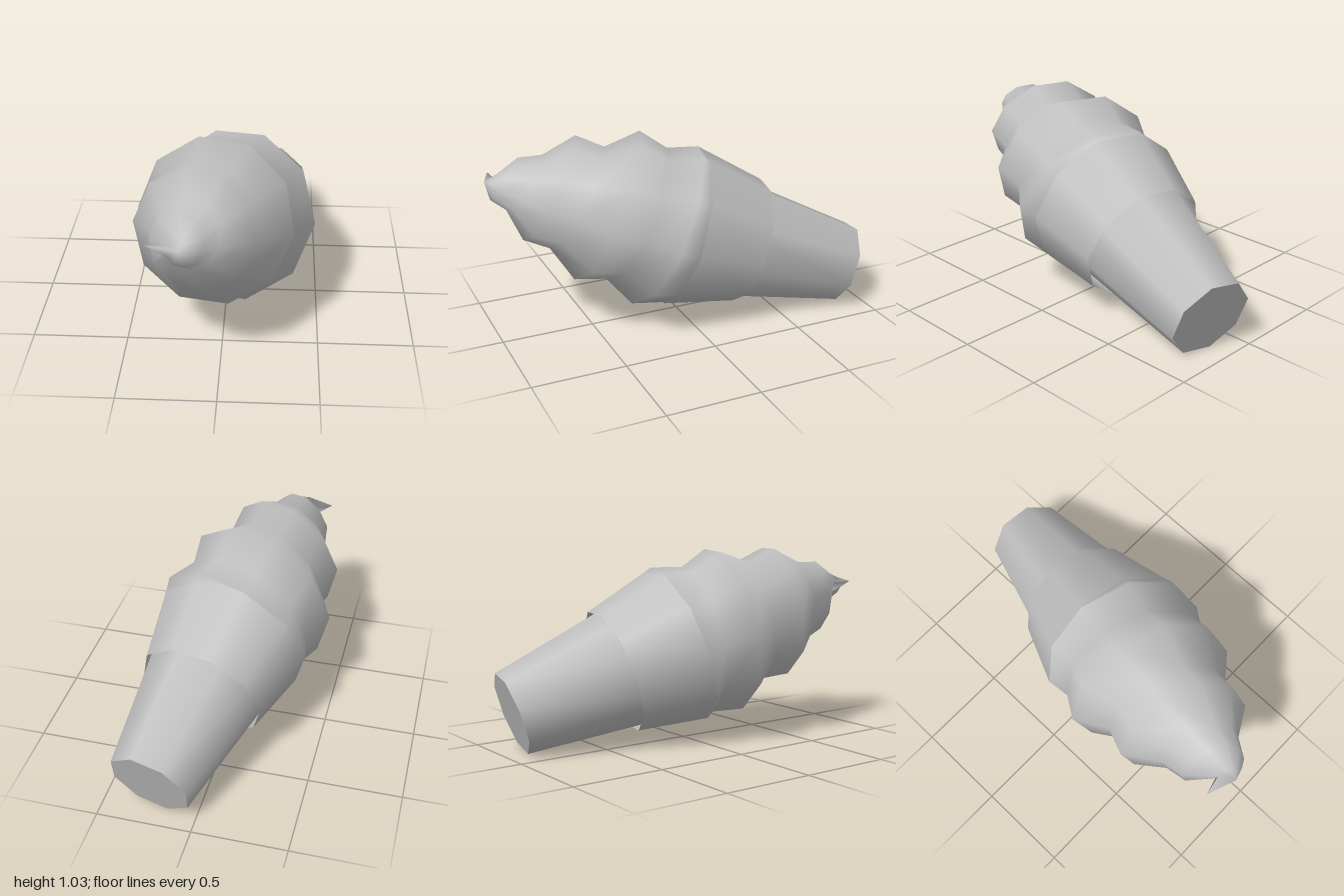
import * as THREE from 'three';
import { mergeVertices } from 'three/addons/utils/BufferGeometryUtils.js';

const RAD = Math.PI / 180;
const SIDES = 10, PHASE = -4 * RAD;
const BASE = 0.977, APEX = 2.07;

// Linear interpolation in a short list of [position, value] pairs
function lerpList(list, x) {
  if (x <= list[0][0]) return list[0][1];
  for (let i = 1; i < list.length; i++) {
    const [x0, v0] = list[i - 1], [x1, v1] = list[i];
    if (x <= x1) return v0 + (v1 - v0) * (x - x0) / (x1 - x0);
  }
  return list[list.length - 1][1];
}

// Height of the spiral by turn, and the radii of its ridge and groove by height
const HEIGHT = [[-1, 0.75], [0, 1.09], [1, 1.43], [2, 1.76], [3, 2.0], [3.5, 2.045], [4, 2.08]];
const RIDGE = [[BASE, 0.435], [1.1, 0.47], [1.22, 0.468], [1.43, 0.42], [1.59, 0.375],
  [1.76, 0.29], [1.9, 0.18], [2.0, 0.1], [2.04, 0.07]];
const GROOVE = [[BASE, 0.435], [1.07, 0.395], [1.25, 0.385], [1.41, 0.345], [1.61, 0.28],
  [1.73, 0.25], [1.85, 0.175], [1.92, 0.125], [2.0, 0.06], [2.06, 0.02]];

// Tapered tube along z
function taper(r0, r1, z0, z1, sides, phase, open) {
  const g = new THREE.CylinderGeometry(r1, r0, z1 - z0, sides, 1, open, phase + Math.PI / 2);
  return g.rotateX(Math.PI / 2).translate(0, 0, (z0 + z1) / 2);
}

// Spiral surface: each column is shifted by a fraction of a turn, so the last
// column joins the first one two rows (one ridge and one groove) further up
function swirlGeometry() {
  const rows = 14, pos = [], index = [];
  for (let j = 0; j < SIDES; j++) {
    for (let i = 0; i <= rows + 2; i++) {
      const turn = j / SIDES + i / 2 - 2;
      const z = THREE.MathUtils.clamp(lerpList(HEIGHT, turn), BASE, APEX);
      let r = lerpList(i % 2 ? GROOVE : RIDGE, z);
      if (z >= APEX || turn > 3.55) r = 0;
      if (Math.abs(turn - 3.5) < 0.01 && i % 2 === 0) r = 0.16; // curled tip
      const a = PHASE - j / SIDES * Math.PI * 2;
      pos.push(r * Math.cos(a), r * Math.sin(a), r === 0 ? APEX : z);
    }
  }
  const id = (i, j) => j === SIDES ? Math.min(i + 2, rows + 2) : j * (rows + 3) + i;
  for (let j = 0; j < SIDES; j++) {
    for (let i = 0; i < rows; i++) {
      const a = id(i, j), b = id(i, j + 1), c = id(i + 1, j + 1), d = id(i + 1, j);
      index.push(a, d, c, a, c, b);
    }
  }
  let g = new THREE.BufferGeometry();
  g.setAttribute('position', new THREE.Float32BufferAttribute(pos, 3));
  g.setIndex(index);
  g = mergeVertices(g);
  g.computeVertexNormals();
  return g;
}

export function createModel() {
  const model = new THREE.Group();
  model.name = 'softServeCone';
  const grey = new THREE.MeshStandardMaterial({ color: 0xc0c0c0, side: THREE.DoubleSide });
  grey.name = 'lightGrey';

  const body = new THREE.Group();
  body.name = 'tiltedCone';
  const add = (name, geometry) => {
    const mesh = new THREE.Mesh(geometry, grey);
    mesh.name = name;
    body.add(mesh);
  };
  add('coneStem', taper(0.225, 0.37, 0, 0.92, 8, -18 * RAD, false));
  add('coneCup', taper(0.345, 0.435, 0.59, BASE, SIDES, PHASE, true));
  add('iceCreamSwirl', swirlGeometry());

  // Lay the cone down, its tip forward, up and to one side
  const axis = new THREE.Vector3(-0.21, 0.33, 1).normalize();
  const side = new THREE.Vector3(1, 0, 0).addScaledVector(axis, -axis.x).normalize();
  const up = new THREE.Vector3().crossVectors(axis, side);
  body.quaternion.setFromRotationMatrix(new THREE.Matrix4().makeBasis(side, up, axis));
  body.position.set(0.23, 0.21, -0.93);
  model.add(body);
  return model;
}
